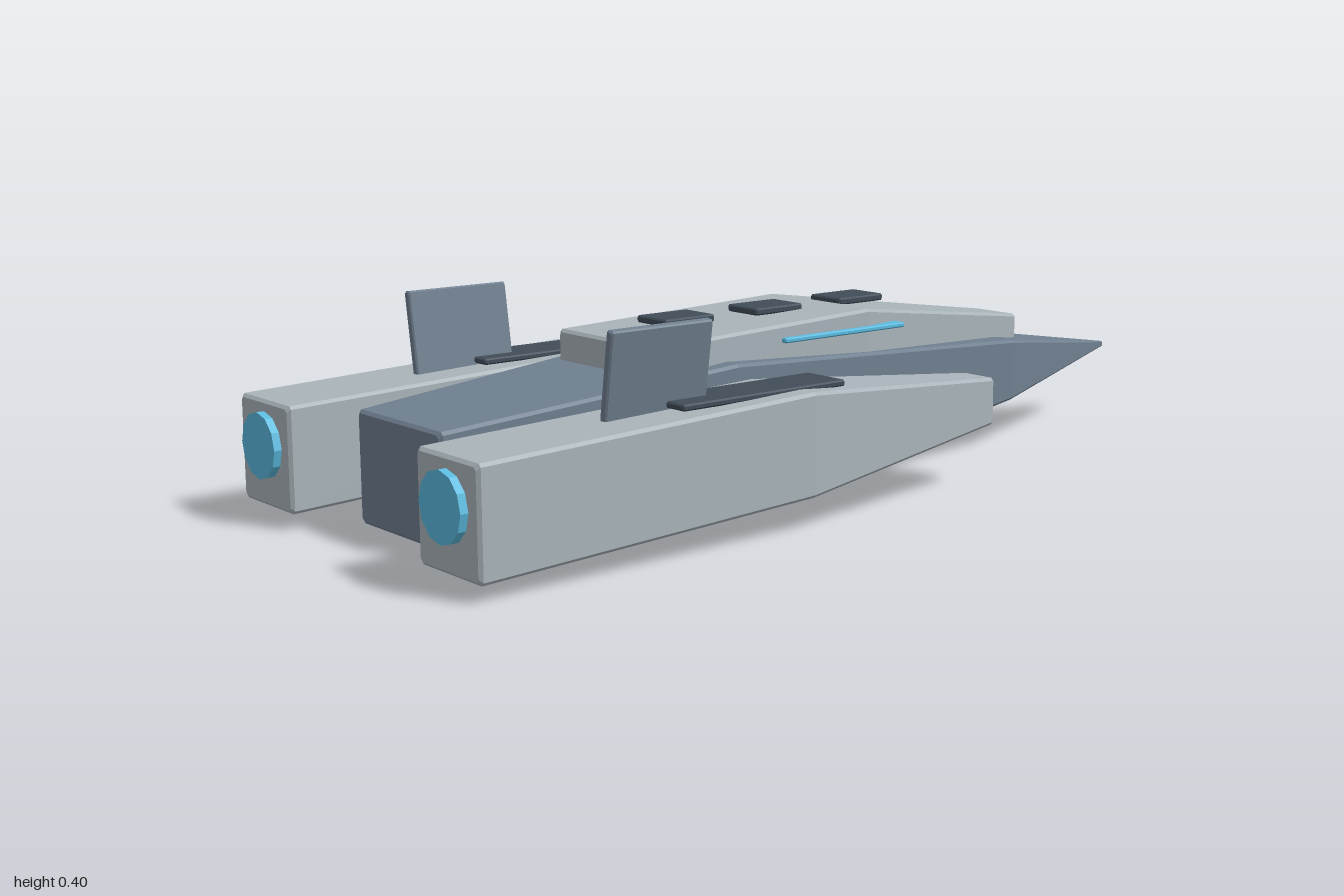
import * as THREE from 'three';

const mat = (color) => new THREE.MeshStandardMaterial({ color, flatShading: true });

// Chamfered rectangle, counter-clockwise seen from +z
function ring({ z, x = 0, w, y0, y1 }, bevel, inset = 0) {
  const hw = w - inset, lo = y0 + inset, hi = y1 - inset;
  const b = Math.min(bevel, hw * 0.5, (hi - lo) * 0.25);
  return [
    [hw, lo + b], [hw, hi - b], [hw - b, hi], [b - hw, hi],
    [-hw, hi - b], [-hw, lo + b], [b - hw, lo], [hw - b, lo],
  ].map(([px, py]) => [x + px, py, z]);
}

// Lofted body through sections listed from +z to -z, with softened ends
function loft(sections, bevel = 0.006) {
  const first = sections[0], last = sections[sections.length - 1];
  const inset = (s) => Math.min(bevel, s.w * 0.5, (s.y1 - s.y0) * 0.25);
  const rings = [
    ring(first, bevel, inset(first)),
    ring({ ...first, z: first.z - inset(first) }, bevel),
    ...sections.slice(1, -1).map((s) => ring(s, bevel)),
    ring({ ...last, z: last.z + inset(last) }, bevel),
    ring(last, bevel, inset(last)),
  ];
  const n = 8, index = [], end = (rings.length - 1) * n;
  for (let r = 0; r < rings.length - 1; r++) {
    for (let j = 0; j < n; j++) {
      const a = r * n + j, d = r * n + (j + 1) % n;
      index.push(a, a + n, d + n, a, d + n, d);
    }
  }
  for (let j = 1; j < n - 1; j++) {
    index.push(0, j, j + 1, end, end + j + 1, end + j);
  }
  const g = new THREE.BufferGeometry();
  g.setAttribute('position', new THREE.Float32BufferAttribute(rings.flat(2), 3));
  g.setIndex(index);
  const flat = g.toNonIndexed();
  flat.computeVertexNormals();
  return flat;
}

export function createModel() {
  const group = new THREE.Group();
  const hullMat = mat(0x708090), plateMat = mat(0xa9b4ba);
  const darkMat = mat(0x414d59), glowMat = mat(0x5bbbe0);

  const add = (name, geometry, material, parent = group) => {
    const mesh = new THREE.Mesh(geometry, material);
    mesh.name = name;
    parent.add(mesh);
    return mesh;
  };
  // Small softened block centred on its position
  const block = (name, [w, h, d], [x, y, z], material, parent) => {
    const g = loft([
      { z: d / 2, w: w / 2, y0: -h / 2, y1: h / 2 },
      { z: -d / 2, w: w / 2, y0: -h / 2, y1: h / 2 },
    ], 0.003);
    const mesh = add(name, g, material, parent);
    mesh.position.set(x, y, z);
    return mesh;
  };

  // Main hull, tapering to the nose
  add('hull', loft([
    { z: 0.89, w: 0.14, y0: 0.015, y1: 0.226 },
    { z: 0.27, w: 0.19, y0: 0, y1: 0.28 },
    { z: -0.55, w: 0.13, y0: 0.1, y1: 0.232 },
    { z: -1, w: 0.005, y0: 0.155, y1: 0.167 },
  ]), hullMat);

  // Raised upper deck
  add('upperDeck', loft([
    { z: 0.44, w: 0.153, y0: 0.225, y1: 0.325 },
    { z: -0.1, w: 0.15, y0: 0.235, y1: 0.345 },
    { z: -0.64, w: 0.057, y0: 0.215, y1: 0.273 },
  ]), plateMat);

  // Roof hatches along the centre line
  for (const z of [-0.18, 0.043, 0.27]) {
    block('hatch', [0.09, 0.014, 0.122], [0, 0.346, z], darkMat);
  }

  for (const side of [-1, 1]) {
    const label = side > 0 ? 'left' : 'right';
    const pod = new THREE.Group();
    pod.name = label + 'EnginePod';
    group.add(pod);
    const cx = side * 0.312;

    add(label + 'Nacelle', loft([
      { z: 0.985, x: cx, w: 0.093, y0: 0.03, y1: 0.23 },
      { z: 0.27, x: cx, w: 0.093, y0: 0.062, y1: 0.257 },
      { z: -0.255, x: cx, w: 0.042, y0: 0.12, y1: 0.215 },
    ]), plateMat, pod);

    const glow = add(label + 'Thruster', new THREE.CylinderGeometry(0.063, 0.063, 0.03, 12), glowMat, pod);
    glow.rotation.x = Math.PI / 2;
    glow.position.set(cx, 0.146, 0.985);

    block(label + 'TopPanel', [0.104, 0.012, 0.38], [cx, 0.256, 0.35], darkMat, pod);

    // Fin leaning outwards
    const fin = block(label + 'Fin', [0.018, 0.165, 0.22], [side * 0.316, 0.319, 0.56], hullMat, pod);
    fin.rotation.z = -side * 0.15;

    // Strut to the hull and light strip on the deck
    block(label + 'Strut', [0.12, 0.07, 0.18], [side * 0.2, 0.133, 0.287], darkMat, pod);
    block(label + 'LightStrip', [0.03, 0.01, 0.32], [side * 0.148, 0.306, -0.03], glowMat);
  }
  return group;
}
